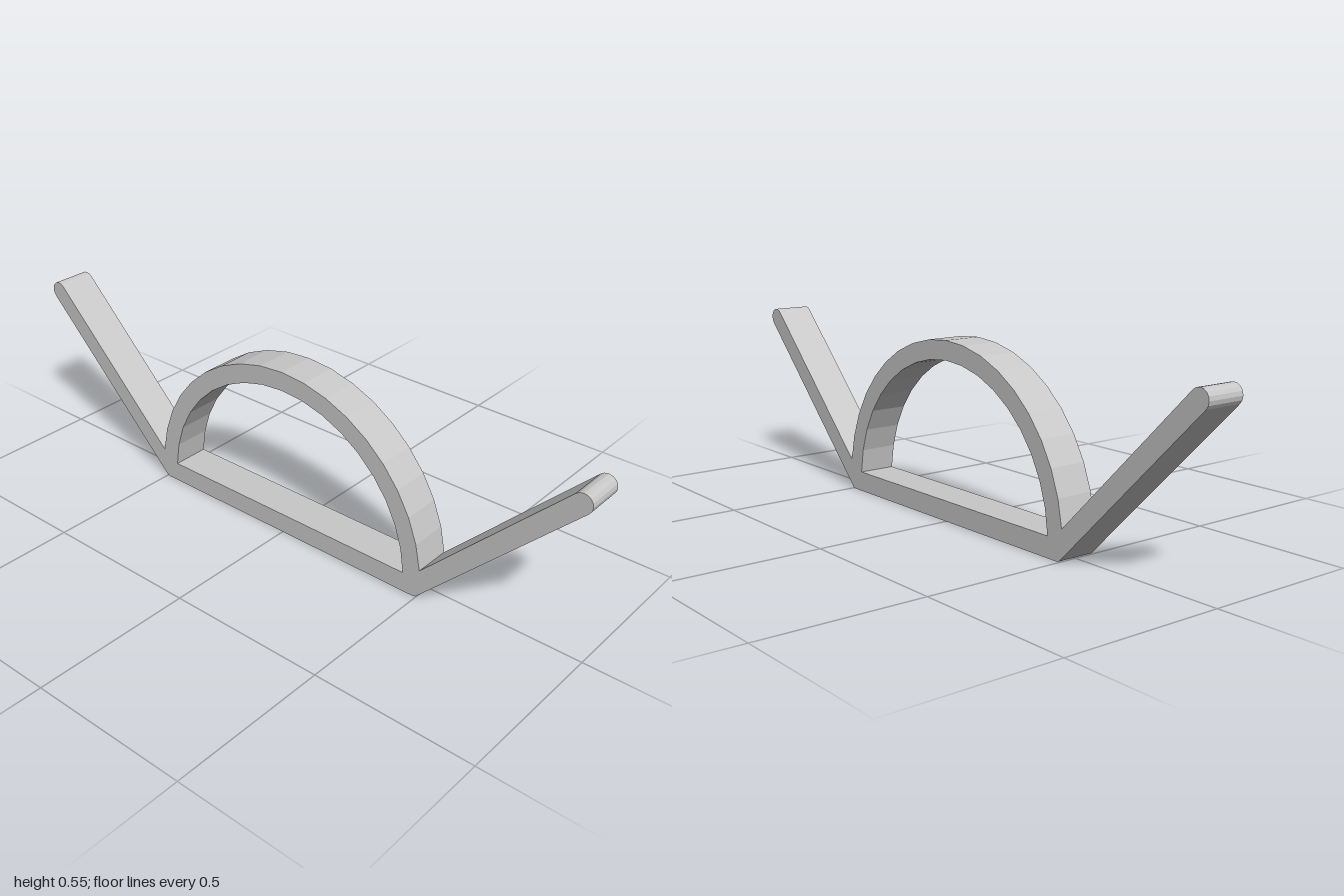
import * as THREE from 'three';

const DEPTH = 0.12;
const ARCH_Y = 0.033, OUTER_R = 0.512, INNER_R = 0.453;
const TIP = [0.97, 0.516], TIP_R = 0.03;

// Points on a circular arc, from angle a to angle b in degrees
function arc(cx, cy, r, a, b, steps) {
  const points = [];
  for (let i = 0; i <= steps; i++) {
    const t = THREE.MathUtils.degToRad(a + ((b - a) * i) / steps);
    points.push(new THREE.Vector2(cx + r * Math.cos(t), cy + r * Math.sin(t)));
  }
  return points;
}

export function createModel() {
  const group = new THREE.Group();
  group.name = 'archBracket';
  const grey = new THREE.MeshStandardMaterial({ color: 0xc8c8c8 });
  grey.name = 'grey';

  // Right half outline: base corner, underside of arm, round tip, upper side of arm
  const half = [
    new THREE.Vector2(0.49, 0),
    new THREE.Vector2(0.5, 0.003),
    ...arc(TIP[0], TIP[1], TIP_R, -45, 135, 8),
  ];
  const mirrored = half.map((p) => new THREE.Vector2(-p.x, p.y)).reverse();

  // Outer arch joins the two arms
  const outer = arc(0, ARCH_Y, OUTER_R, 7, 173, 18);
  const shape = new THREE.Shape([...half, ...outer, ...mirrored]);

  // Half-round opening above the flat base bar
  shape.holes.push(new THREE.Path(arc(0, ARCH_Y, INNER_R, 3.8, 176.2, 18)));

  const geometry = new THREE.ExtrudeGeometry(shape, { depth: DEPTH, bevelEnabled: false });
  geometry.translate(0, 0, -DEPTH / 2);
  const frame = new THREE.Mesh(geometry, grey);
  frame.name = 'archWithBaseAndArms';
  group.add(frame);
  return group;
}
